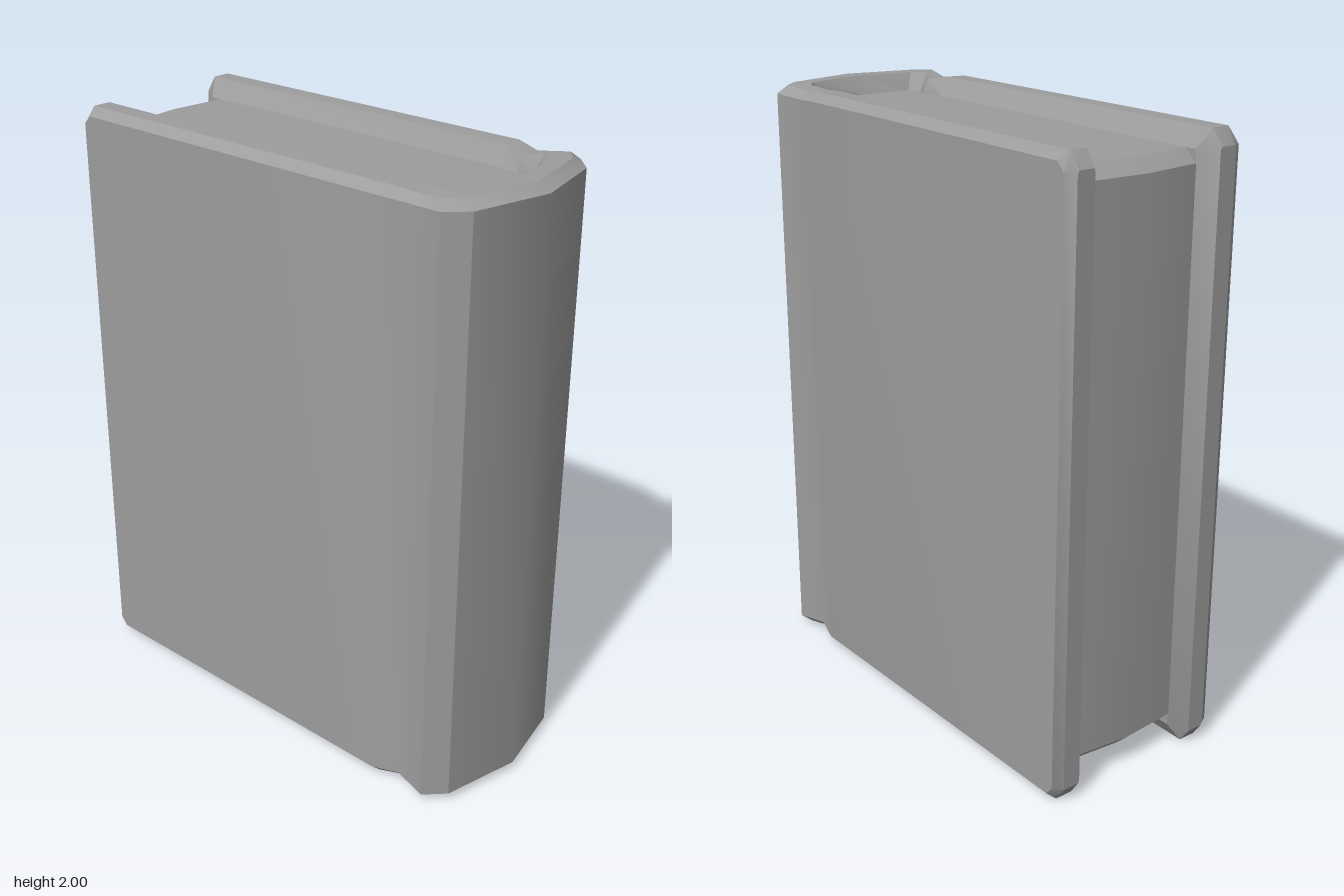
import * as THREE from 'three';
import { toCreasedNormals } from 'three/addons/utils/BufferGeometryUtils.js';

// Joins closed rings of equal length into a skin and caps both ends.
function loft(rings, crease) {
  const n = rings[0].length, pos = rings.flat(2), index = [];
  for (let r = 0; r < rings.length - 1; r++) {
    for (let i = 0; i < n; i++) {
      const a = r * n + i, b = r * n + (i + 1) % n;
      index.push(a, b, b + n, a, b + n, a + n);
    }
  }
  const last = (rings.length - 1) * n;
  for (let i = 1; i < n - 1; i++) {
    index.push(0, i + 1, i, last, last + i, last + i + 1);
  }
  const g = new THREE.BufferGeometry();
  g.setAttribute('position', new THREE.Float32BufferAttribute(pos, 3));
  g.setIndex(index);
  return toCreasedNormals(g, crease);
}

export function createModel() {
  const group = new THREE.Group();
  const material = new THREE.MeshStandardMaterial({ color: 0x9d9d9d, side: THREE.DoubleSide });
  const add = (name, geometry) => {
    const mesh = new THREE.Mesh(geometry, material);
    mesh.name = name;
    group.add(mesh);
  };

  // Cover stations from a rear edge to the middle of the spine:
  // outer face [x, z, y], outer rim [x, z, y], inner rim [x, z, y], inner face [x, z, y]
  const half = [
    [[0.297, -0.8, 1.94], [0.292, -0.8, 1.95], [0.24, -0.8, 1.95], [0.235, -0.8, 1.94]],
    [[0.328, -0.78, 1.945], [0.297, -0.765, 2], [0.235, -0.765, 2], [0.197, -0.74, 1.94]],
    [[0.328, -0.755, 1.973], [0.297, -0.755, 2], [0.235, -0.755, 2], [0.197, -0.73, 1.94]],
    [[0.328, 0.47, 1.973], [0.297, 0.475, 2], [0.235, 0.475, 2], [0.197, 0.47, 1.94]],
    [[0.303, 0.56, 1.963], [0.273, 0.56, 1.988], [0.205, 0.555, 1.988], [0.18, 0.56, 1.94]],
    [[0.328, 0.675, 1.973], [0.294, 0.66, 2], [0.235, 0.61, 2], [0.2, 0.6, 1.94]],
    [[0.265, 0.737, 1.973], [0.245, 0.702, 2], [0.2, 0.657, 2], [0.17, 0.632, 1.94]],
    [[0, 0.797, 1.973], [0, 0.758, 2], [0, 0.7, 2], [0, 0.662, 1.94]],
  ];
  const coverRing = (station, side) => {
    const top = station.map(([x, z, y]) => [side * x, y, z]);
    const bottom = top.map(([x, y, z]) => [x, 2 - y, z]).reverse();
    return [...top, ...bottom];
  };
  const coverRings = [
    ...half.map((s) => coverRing(s, 1)),
    ...half.slice(0, -1).reverse().map((s) => coverRing(s, -1)),
  ];
  add('cover', loft(coverRings, 0.5));

  // Page block with a bevelled fore edge
  const pageRing = (y, inset) => [
    [0.2, y, -0.742 + inset], [0, y, -0.76 + inset], [-0.2, y, -0.742 + inset],
    [-0.2, y, 0.6], [-0.17, y, 0.635], [0, y, 0.665], [0.17, y, 0.635], [0.2, y, 0.6],
  ];
  add('pages', loft([pageRing(0.06, 0.042), pageRing(0.1, 0), pageRing(1.9, 0), pageRing(1.94, 0.042)], 0.4));

  return group;
}
